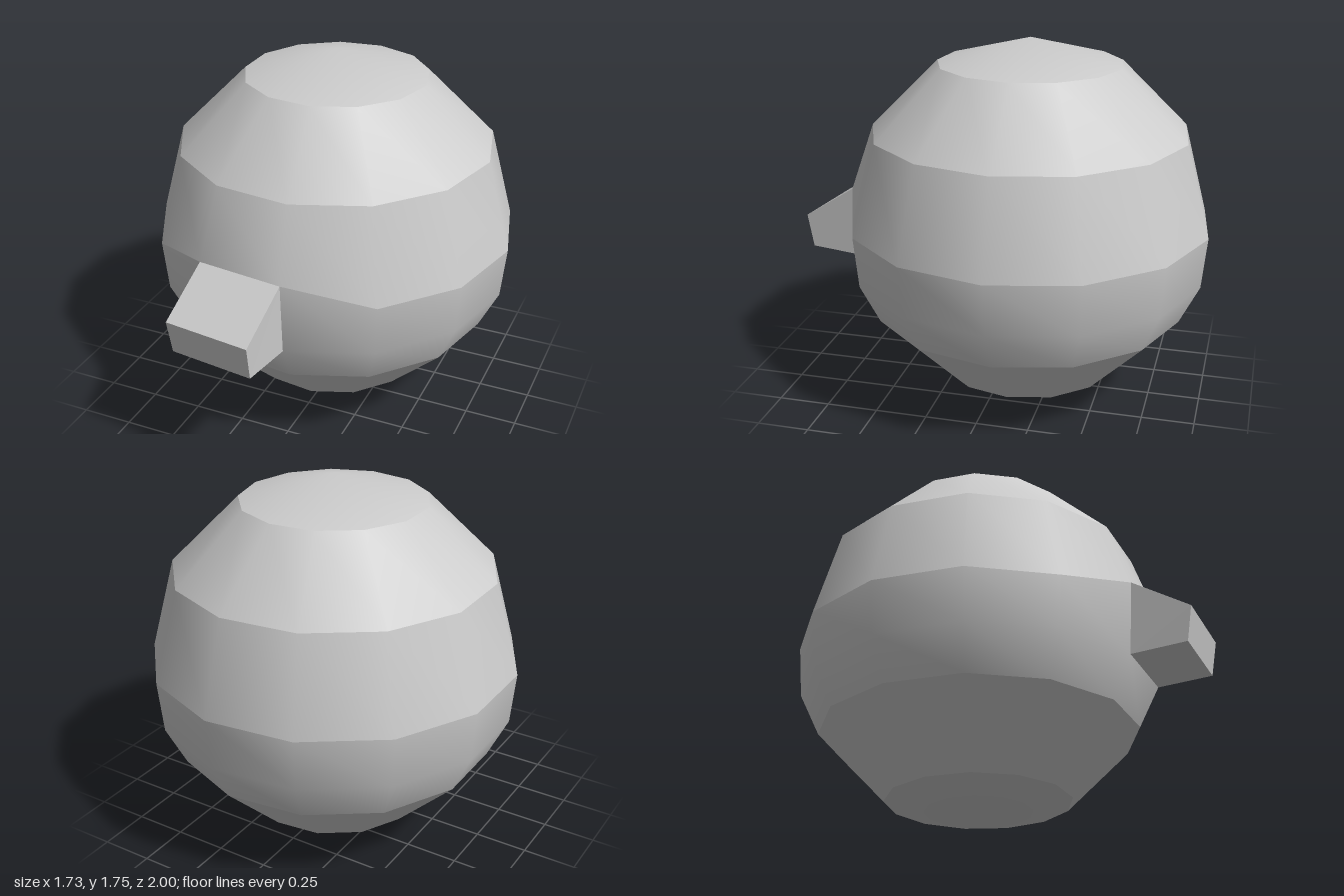
import * as THREE from 'three';

const SIDES = 13, R = 0.876, CX = -0.015, CZ = -0.132;
const material = new THREE.MeshStandardMaterial({ color: 0xcccccc });

// Rings of the ball, bottom to top: [radius, height]
const RINGS = [
  [0, 0], [R * 0.5, R * 0.134], [R * 0.866, R * 0.5], [0.853, 0.63],
  [R, R], [R * 0.866, R * 1.5], [R * 0.5, R * 1.866], [0, R * 2],
];
const LIP = 4;              // the widest ring, lifted above the snout
const SNOUT = [3, 4];       // the two columns the snout grows from

function ringPoint(ring, column) {
  const i = column % SIDES, a = (i / SIDES) * Math.PI * 2;
  const [r, h] = RINGS[ring];
  const y = ring === LIP && SNOUT.includes(i) ? 0.978 : h;
  return new THREE.Vector3(CX + r * Math.cos(a), y, CZ + r * Math.sin(a));
}

// Band smooth within itself, with hard edges to its neighbours
function makeBand(name, from, to) {
  const points = [], index = [];
  for (let j = from; j <= to; j++) {
    if (RINGS[j][0] === 0) points.push(ringPoint(j, 0));
    else for (let i = 0; i < SIDES; i++) points.push(ringPoint(j, i));
  }
  // a pole is stored as a single vertex
  const starts = [];
  let count = 0;
  for (let j = from; j <= to; j++) {
    starts.push(count);
    count += RINGS[j][0] === 0 ? 1 : SIDES;
  }
  const id = (j, i) => starts[j - from] + (RINGS[j][0] === 0 ? 0 : i % SIDES);
  for (let j = from; j < to; j++) {
    for (let i = 0; i < SIDES; i++) {
      if (j === LIP - 1 && i === SNOUT[0]) continue; // opening covered by the snout
      const a = id(j, i), b = id(j, i + 1), c = id(j + 1, i + 1), d = id(j + 1, i);
      if (c !== d) index.push(a, d, c);
      if (a !== b) index.push(a, c, b);
    }
  }
  const geometry = new THREE.BufferGeometry().setFromPoints(points);
  geometry.setIndex(index);
  geometry.computeVertexNormals();
  const mesh = new THREE.Mesh(geometry, material);
  mesh.name = name;
  return mesh;
}

// Wedge-shaped snout drawn out of the front facet
function makeSnout() {
  const mid = ((SNOUT[0] + 0.5) / SIDES) * Math.PI * 2;
  const out = (p, distance, y) => new THREE.Vector3(
    p.x + Math.cos(mid) * distance, y, p.z + Math.sin(mid) * distance);
  const [r, l] = SNOUT;
  const TL = ringPoint(LIP, l), TR = ringPoint(LIP, r);
  const BL = ringPoint(LIP - 1, l), BR = ringPoint(LIP - 1, r);
  const tl = out(TL, 0.265, 0.808), tr = out(TR, 0.265, 0.808);
  const bl = out(BL, 0.26, 0.643), br = out(BR, 0.26, 0.643);
  const quads = [
    [bl, br, tr, tl], [tl, tr, TR, TL], [BL, BR, br, bl],
    [br, BR, TR, tr], [BL, bl, tl, TL],
  ];
  const points = quads.flatMap(([a, b, c, d]) => [a, b, c, a, c, d]);
  const geometry = new THREE.BufferGeometry().setFromPoints(points);
  geometry.computeVertexNormals();
  const mesh = new THREE.Mesh(geometry,
    new THREE.MeshStandardMaterial({ color: 0xcccccc, flatShading: true }));
  mesh.name = 'snout';
  return mesh;
}

export function createModel() {
  const model = new THREE.Group();
  model.name = 'ballWithSnout';
  model.add(
    makeBand('bottomCap', 0, 1),
    makeBand('lowerBand', 1, 2),
    makeBand('bellyBand', 2, 4),
    makeBand('upperBand', 4, 5),
    makeBand('shoulderBand', 5, 6),
    makeBand('topCap', 6, 7),
    makeSnout(),
  );
  return model;
}
